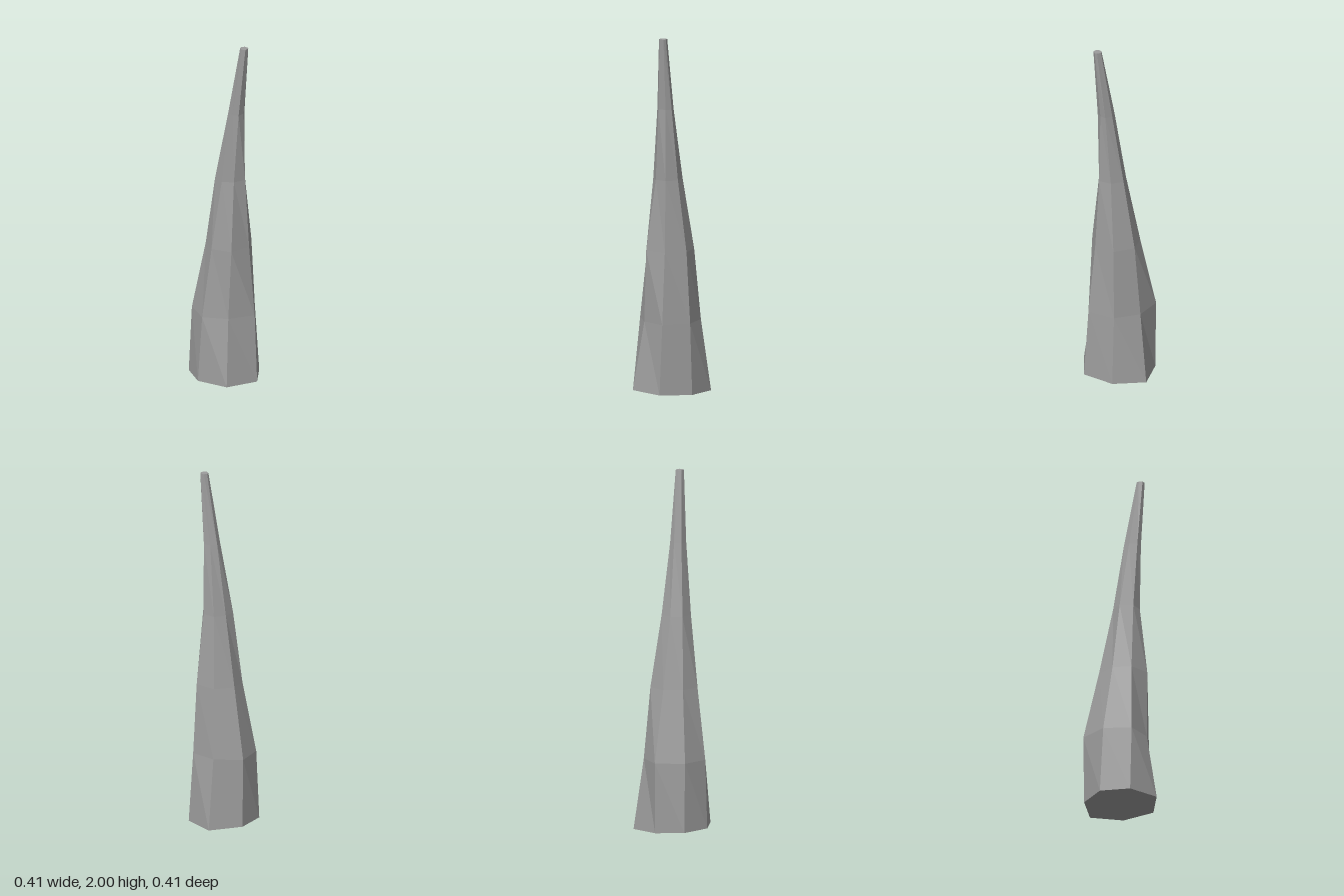
import * as THREE from 'three';

// Seven ridges, each running from base to tip as [x, z] at the ring heights
const HEIGHTS = [0, 0.4, 0.8, 1.2, 1.6, 2];
const RIDGES = [
  [[0.203, 0.007], [0.18, -0.002], [0.14, -0.005], [0.115, -0.002], [0.106, 0], [0.14, 0.003]],
  [[0.123, 0.184], [0.093, 0.127], [0.104, 0.113], [0.085, 0.063], [0.103, 0.043], [0.137, 0.026]],
  [[-0.058, 0.205], [-0.04, 0.19], [-0.012, 0.14], [0.025, 0.095], [0.072, 0.058], [0.118, 0.035]],
  [[-0.193, 0.104], [-0.172, 0.104], [-0.097, 0.076], [-0.043, 0.062], [0.03, 0.04], [0.1, 0.025]],
  [[-0.2, -0.06], [-0.205, -0.06], [-0.122, -0.03], [-0.045, -0.007], [0.02, 0], [0.096, 0.008]],
  [[-0.078, -0.208], [-0.068, -0.152], [-0.048, -0.119], [-0.005, -0.065], [0.047, -0.028], [0.106, -0.009]],
  [[0.103, -0.152], [0.085, -0.135], [0.078, -0.112], [0.07, -0.06], [0.09, -0.03], [0.13, -0.008]],
];

// Point on a ridge; the base is cut at a slight slant
function point(ridge, level) {
  const [x, z] = RIDGES[ridge % RIDGES.length][level];
  const y = level === 0 ? 0.0085 + 0.04 * z : HEIGHTS[level];
  return [x, y, z];
}

function facets(triangles) {
  const geometry = new THREE.BufferGeometry();
  geometry.setAttribute('position', new THREE.Float32BufferAttribute(triangles.flat(2), 3));
  geometry.computeVertexNormals();
  return geometry;
}

// Fan of triangles closing one end
function cap(level, facingUp) {
  const triangles = [];
  for (let i = 1; i < RIDGES.length - 1; i++) {
    const [a, b, c] = [point(0, level), point(i, level), point(i + 1, level)];
    triangles.push(facingUp ? [a, c, b] : [a, b, c]);
  }
  return facets(triangles);
}

export function createModel() {
  const group = new THREE.Group();
  group.name = 'stoneSpike';
  const stone = new THREE.MeshStandardMaterial({ color: 0x9c9c9c, flatShading: true });
  stone.name = 'grey stone';

  const add = (name, geometry) => {
    const mesh = new THREE.Mesh(geometry, stone);
    mesh.name = name;
    group.add(mesh);
  };

  // Faceted sides joining neighbouring ridges
  const sides = [];
  for (let level = 0; level < HEIGHTS.length - 1; level++) {
    for (let i = 0; i < RIDGES.length; i++) {
      const a = point(i, level), b = point(i + 1, level);
      const aTop = point(i, level + 1), bTop = point(i + 1, level + 1);
      sides.push([a, aTop, bTop], [a, bTop, b]);
    }
  }
  add('spikeSides', facets(sides));
  add('spikeBase', cap(0, false));
  add('spikeTip', cap(HEIGHTS.length - 1, true));
  return group;
}
